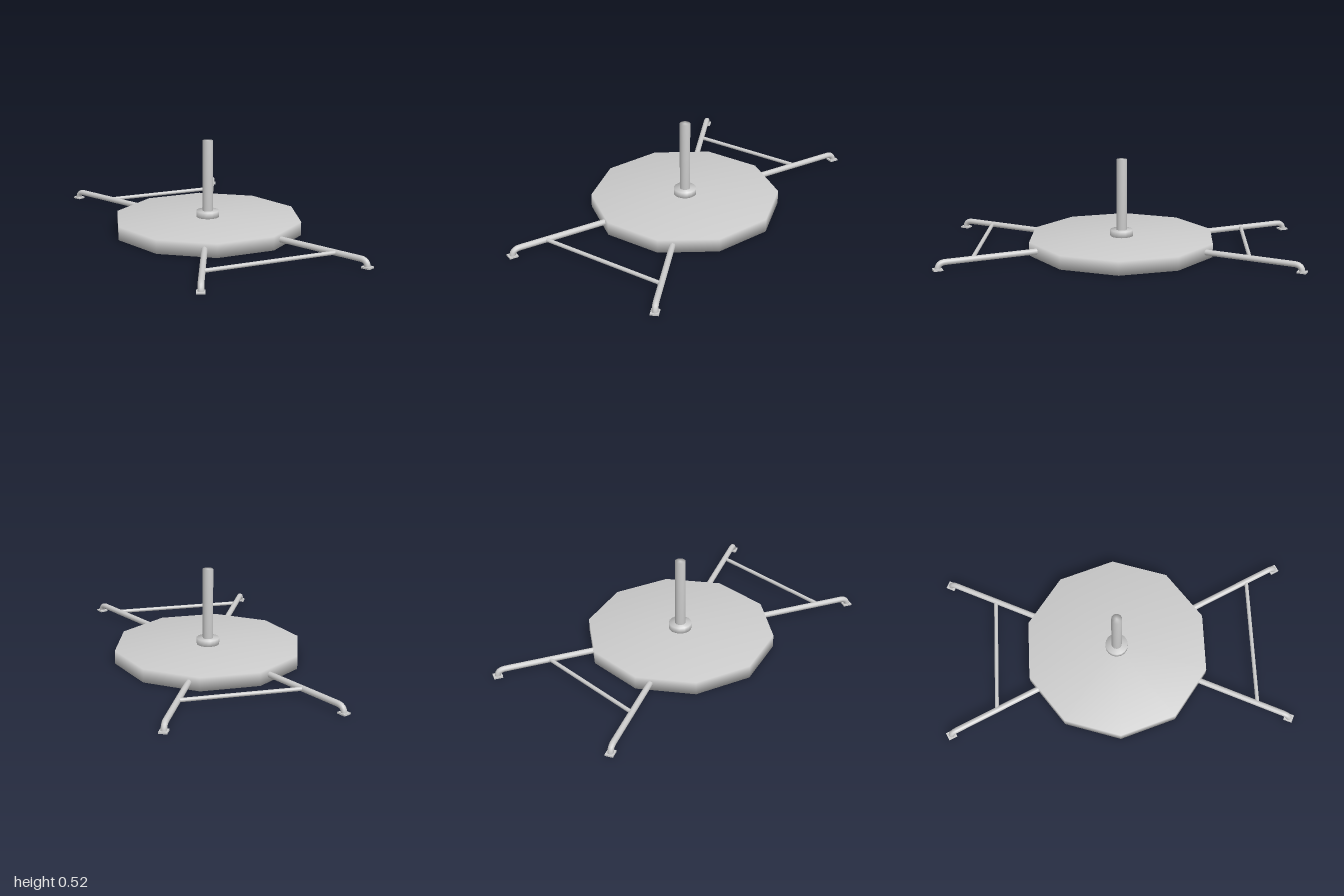
import * as THREE from 'three';
import { mergeVertices } from 'three/addons/utils/BufferGeometryUtils.js';

const material = new THREE.MeshStandardMaterial({ color: 0xcccccc });
const V = (x, y, z) => new THREE.Vector3(x, y, z);

function mesh(name, geometry, parent) {
  const m = new THREE.Mesh(geometry, material);
  m.name = name;
  parent.add(m);
  return m;
}

// Upright cylinder whose normals blend softly over the rim
function softCylinder(radius, y0, y1, sides) {
  const g = new THREE.CylinderGeometry(radius, radius, y1 - y0, sides);
  g.deleteAttribute('uv');
  g.deleteAttribute('normal');
  const merged = mergeVertices(g, 1e-4);
  merged.computeVertexNormals();
  merged.rotateY(Math.PI / 2);
  merged.translate(0, (y0 + y1) / 2, 0);
  return merged;
}

const LEG_Y = 0.042;

// Straight tube that bends down into a small flat foot plate
function addLeg(name, inner, foot, parent) {
  const leg = new THREE.Group();
  leg.name = name;
  const start = V(inner[0], LEG_Y, inner[1]);
  const corner = V(foot[0], LEG_Y, foot[1]);
  const dir = corner.clone().sub(start).normalize();
  const bend = corner.clone().addScaledVector(dir, -0.045);
  const end = V(foot[0], 0.004, foot[1]);

  const path = new THREE.CurvePath();
  path.add(new THREE.LineCurve3(start, bend));
  path.add(new THREE.QuadraticBezierCurve3(bend, corner, end));
  mesh('legTube', new THREE.TubeGeometry(path, 60, 0.0165, 12), leg);

  const plate = mesh('footPlate', new THREE.BoxGeometry(0.045, 0.009, 0.05), leg);
  plate.position.set(foot[0], 0.0045, foot[1]);
  plate.rotation.y = Math.atan2(dir.x, dir.z);
  parent.add(leg);
}

// Horizontal tube joining a pair of legs
function addCrossbar(name, x0, x1, z, parent) {
  const bar = mesh(name, new THREE.CylinderGeometry(0.011, 0.011, x1 - x0, 12), parent);
  bar.rotation.z = Math.PI / 2;
  bar.position.set((x0 + x1) / 2, 0.044, z);
}

export function createModel() {
  const model = new THREE.Group();
  model.name = 'poleStand';

  // Ten-sided base with collar and pole
  mesh('baseDisc', softCylinder(0.535, 0, 0.077, 10), model);
  mesh('collar', softCylinder(0.065, 0.07, 0.112, 16), model);
  mesh('pole', softCylinder(0.03, 0.1, 0.517, 16), model);

  // Splayed legs
  addLeg('frontLeftLeg', [0.218, 0.44], [0.468, 0.963], model);
  addLeg('frontRightLeg', [-0.208, 0.44], [-0.454, 0.966], model);
  addLeg('backLeftLeg', [0.204, -0.44], [0.45, -0.966], model);
  addLeg('backRightLeg', [-0.218, -0.44], [-0.468, -0.963], model);

  // Crossbars
  addCrossbar('frontCrossbar', -0.37, 0.383, 0.79, model);
  addCrossbar('backCrossbar', -0.34, 0.322, -0.7, model);

  return model;
}
